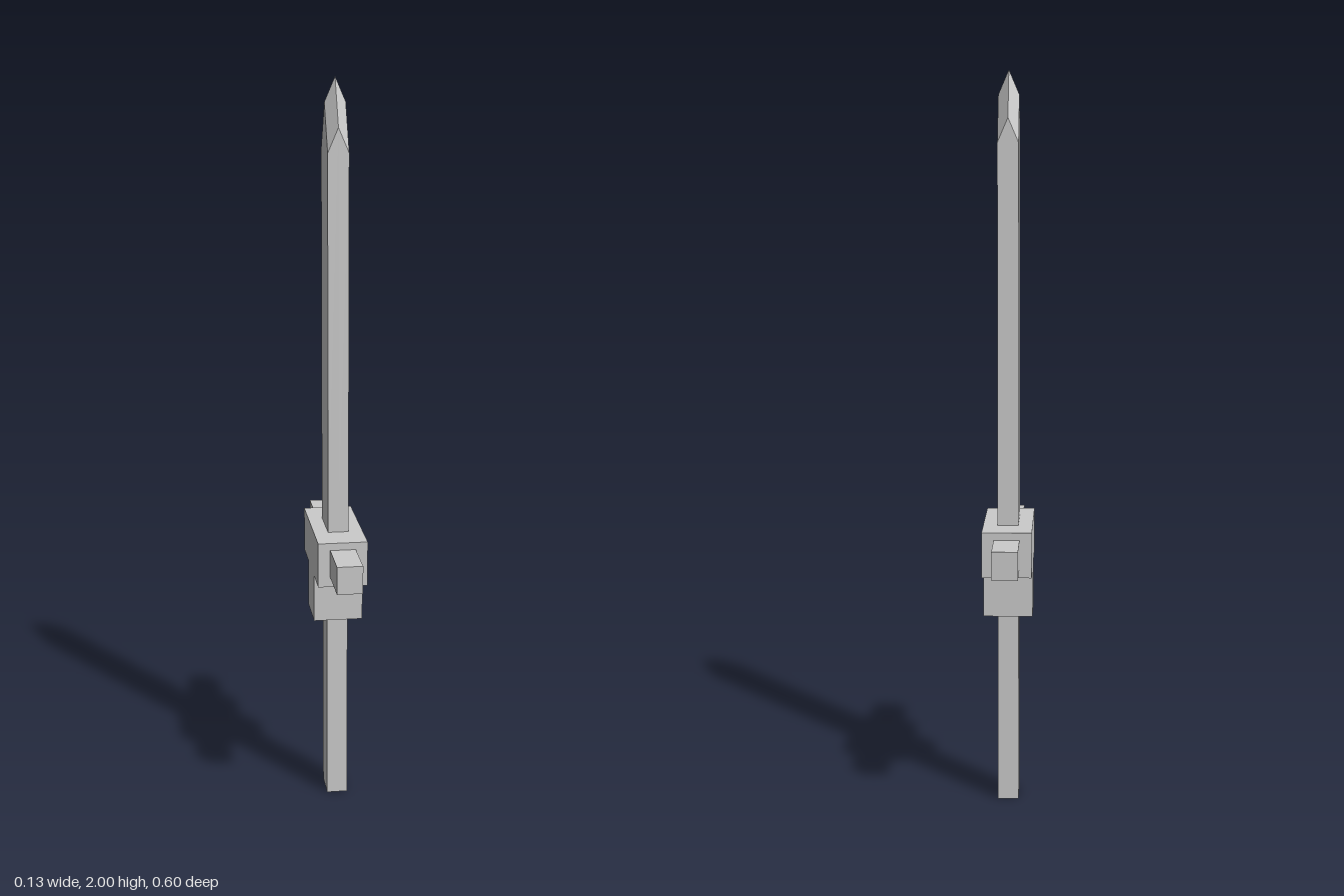
import * as THREE from 'three';

const material = new THREE.MeshStandardMaterial({ color: 0xcccccc, flatShading: true });

// Mesh whose geometry spans y0..y1, centred on z
function addPart(group, name, geometry, y0, y1, z = 0) {
  const mesh = new THREE.Mesh(geometry, material);
  mesh.name = name;
  mesh.position.set(0, (y0 + y1) / 2, z);
  group.add(mesh);
}

function addBox(group, name, width, y0, y1, depth, z = 0) {
  addPart(group, name, new THREE.BoxGeometry(width, y1 - y0, depth), y0, y1, z);
}

// Rectangular bar whose top slopes from a central point into four flat facets
function bladeGeometry(width, height, depth, dropX, dropZ) {
  const geometry = new THREE.BoxGeometry(width, height, depth, 2, 1, 2);
  const pos = geometry.attributes.position;
  for (let i = 0; i < pos.count; i++) {
    if (pos.getY(i) < 0) continue;
    const drop = dropX * Math.abs(pos.getX(i)) / (width / 2)
      + dropZ * Math.abs(pos.getZ(i)) / (depth / 2);
    pos.setY(i, height / 2 - drop);
  }
  geometry.computeVertexNormals();
  return geometry;
}

export function createModel() {
  const sword = new THREE.Group();
  sword.name = 'sword';

  // Handle and the block above it
  addBox(sword, 'grip', 0.057, 0, 0.533, 0.09);
  addBox(sword, 'collar', 0.134, 0.533, 0.665, 0.134);

  // Crossguard with a slimmer arm at each end
  addBox(sword, 'guard', 0.134, 0.665, 0.788, 0.323);
  for (const side of [1, -1]) {
    addBox(sword, side > 0 ? 'frontGuardArm' : 'backGuardArm', 0.069, 0.692, 0.768, 0.136, side * 0.2295);
  }

  // Blade with faceted point
  addPart(sword, 'blade', bladeGeometry(0.056, 1.212, 0.134, 0.065, 0.125), 0.788, 2);

  return sword;
}
